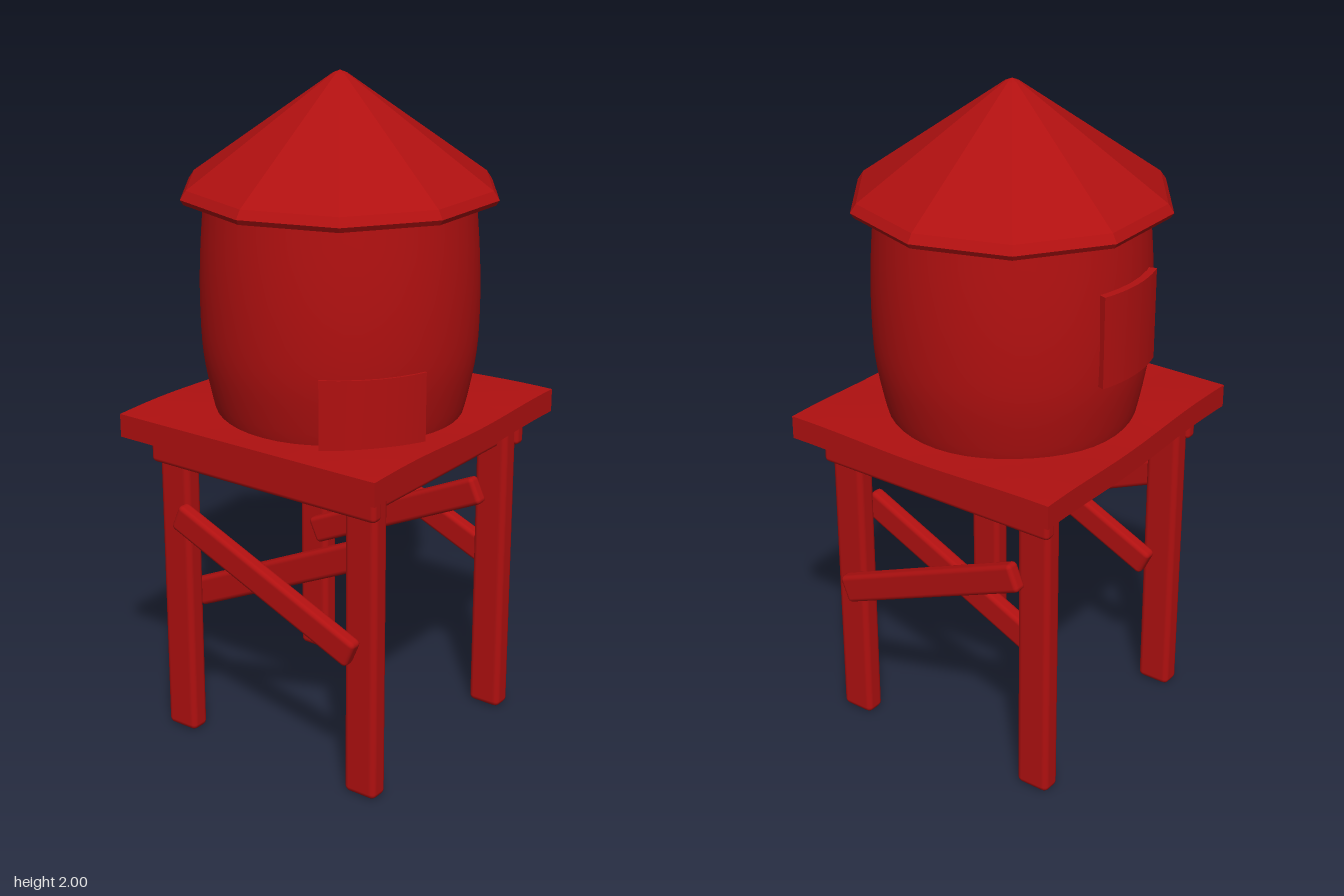
import * as THREE from 'three';
import { RoundedBoxGeometry } from 'three/addons/geometries/RoundedBoxGeometry.js';

const paint = new THREE.MeshStandardMaterial({ color: 0xb01010 });
const facetedPaint = new THREE.MeshStandardMaterial({ color: 0xb01010, flatShading: true });

export function createModel() {
  const model = new THREE.Group();

  const add = (name, geometry, x = 0, y = 0, z = 0, material = paint) => {
    const mesh = new THREE.Mesh(geometry, material);
    mesh.name = name;
    mesh.position.set(x, y, z);
    model.add(mesh);
    return mesh;
  };
  const timber = (w, h, d, r = 0.014) => new RoundedBoxGeometry(w, h, d, 2, r);
  const profile = (pairs) => pairs.map(([r, y]) => new THREE.Vector2(r, y));

  // Ten-sided conical roof with a thin eave
  add('roof', new THREE.LatheGeometry(profile([
    [0, 1.65], [0.43, 1.648], [0.452, 1.65], [0.462, 1.665], [0.445, 1.69], [0.02, 1.992], [0, 2],
  ]), 10, Math.PI / 10), 0, 0, 0, facetedPaint);

  // Barrel-shaped tank
  const barrel = new THREE.SplineCurve(profile([
    [0.355, 1.0], [0.372, 1.06], [0.397, 1.2], [0.403, 1.35], [0.398, 1.5], [0.385, 1.66],
  ]));
  add('tank', new THREE.LatheGeometry(barrel.getPoints(20), 48));

  // Panels bent around the tank: angles in degrees from the front towards +x
  const bentPanel = (name, from, to, y0, y1, rIn, rOut) => {
    const geometry = new THREE.BoxGeometry(1, y1 - y0, 1, 12, 1, 1);
    const p = geometry.attributes.position;
    for (let i = 0; i < p.count; i++) {
      const a = THREE.MathUtils.degToRad(THREE.MathUtils.lerp(from, to, p.getX(i) + 0.5));
      const r = p.getZ(i) > 0 ? rOut : rIn;
      p.setXYZ(i, r * Math.sin(a), p.getY(i), r * Math.cos(a));
    }
    geometry.computeVertexNormals();
    add(name, geometry, 0, (y0 + y1) / 2, 0);
  };
  bentPanel('backPatch', 162, 198, 1.23, 1.5, 0.37, 0.42);
  bentPanel('lowerPatch', -62, -18, 1.02, 1.23, 0.35, 0.406);

  // Platform with slightly uneven boards
  const deck = new THREE.BoxGeometry(0.92, 0.07, 0.9, 16, 1, 16);
  const p = deck.attributes.position;
  for (let i = 0; i < p.count; i++) {
    const x = p.getX(i), z = p.getZ(i);
    p.setY(i, p.getY(i) + 0.005 * Math.sin(9 * x + 1) * Math.cos(8 * z));
  }
  deck.computeVertexNormals();
  add('platform', deck, 0, 0.993, 0);

  // Beams under the platform, front and back
  for (const s of [1, -1]) add('crossBeam', timber(0.72, 0.085, 0.05), 0, 0.915, s * 0.335);

  for (const s of [1, -1]) {
    const side = s > 0 ? 'left' : 'right';
    add(side + 'Beam', timber(0.04, 0.085, 0.8), s * 0.37, 0.913, 0);

    // Legs
    for (const f of [1, -1]) {
      add(side + (f > 0 ? 'FrontLeg' : 'BackLeg'), timber(0.064, 0.96, 0.107, 0.018), s * 0.336, 0.48, f * 0.335);
    }

    // Crossed braces, one outside and one inside the legs
    const brace = (name, x, z0, y0, z1, y1) => {
      const length = Math.hypot(z1 - z0, y1 - y0);
      const mesh = add(name, timber(0.044, 0.086, length), s * x, (y0 + y1) / 2, (z0 + z1) / 2);
      mesh.rotation.x = -Math.atan2(y1 - y0, z1 - z0);
    };
    brace(side + 'OuterBrace', 0.388, -0.3, 0.727, 0.33, 0.46);
    brace(side + 'InnerBrace', 0.288, -0.31, 0.44, 0.31, 0.73);
  }

  return model;
}
